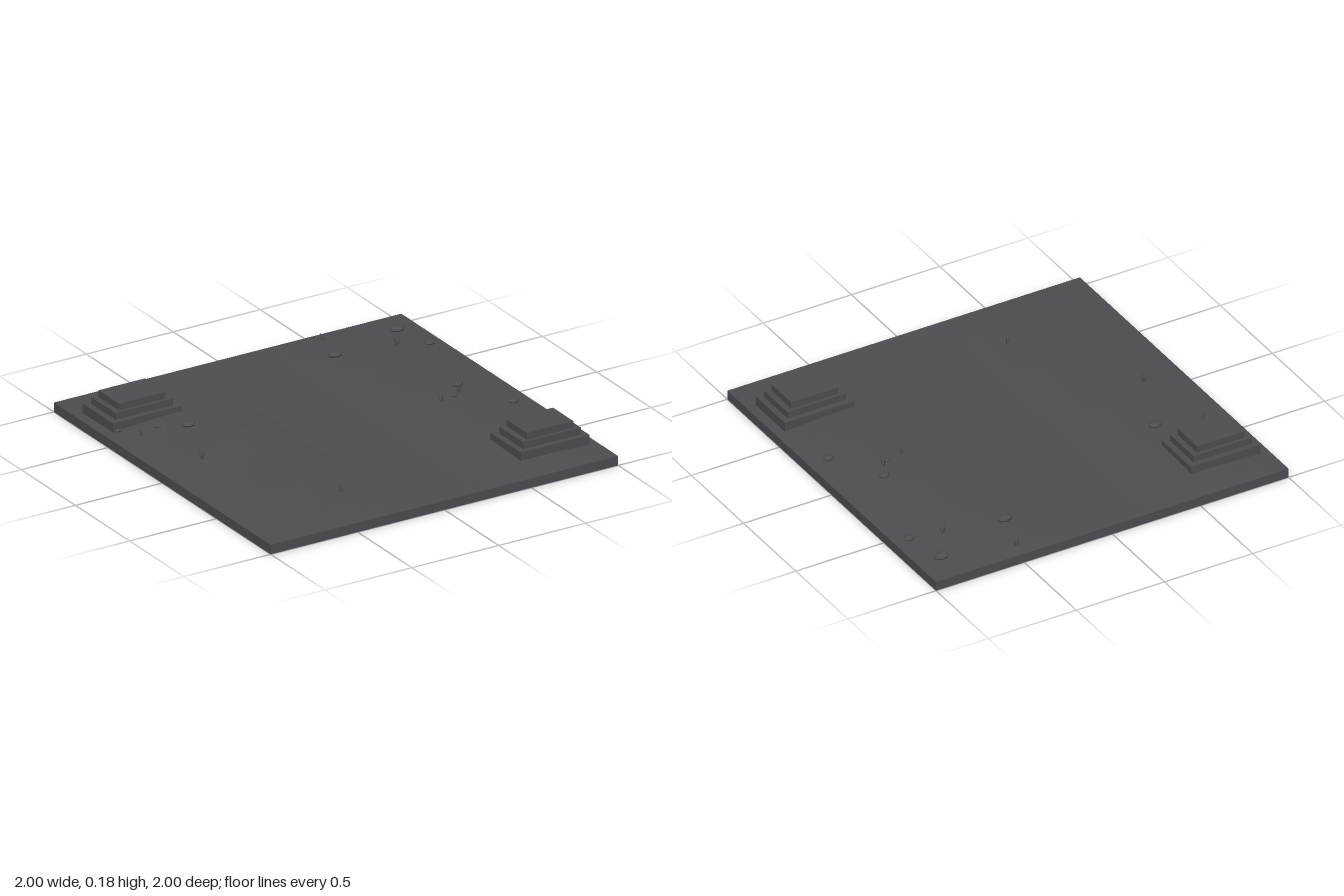
import * as THREE from 'three';

const BASE = 0.05;

// Ground height: flat lane down the middle, low mounds on both sides, level at the rim
function groundHeight(x, z) {
  const t = THREE.MathUtils.clamp((Math.abs(x) - 0.24) / 0.76, 0, 1);
  const across = Math.pow(Math.sin(Math.PI * Math.pow(t, 0.85)), 0.8);
  const along = Math.pow(Math.max(0, Math.cos((z + 0.1 * (1 - z * z)) * Math.PI / 2)), 0.7);
  const ripple = 0.88 + 0.12 * Math.sin(9 * x + 4 * z) * Math.cos(7 * z - 3 * x);
  return BASE + 0.036 * across * along * ripple;
}

export function createModel() {
  const stone = new THREE.MeshStandardMaterial({ color: 0x4e4d52, flatShading: true });
  stone.name = 'dark grey stone';
  const root = new THREE.Group();
  root.name = 'terrainTile';

  const add = (geometry, name, parent = root) => {
    const mesh = new THREE.Mesh(geometry, stone);
    mesh.name = name;
    parent.add(mesh);
    return mesh;
  };

  // Ground slab with its upper face raised into mounds
  const ground = new THREE.BoxGeometry(2, BASE, 2, 20, 1, 20);
  ground.translate(0, BASE / 2, 0);
  const p = ground.attributes.position;
  for (let i = 0; i < p.count; i++) {
    if (p.getY(i) > BASE / 2) p.setY(i, groundHeight(p.getX(i), p.getZ(i)));
  }
  ground.computeVertexNormals();
  add(ground, 'ground');

  // Stepped platforms in opposite corners
  const steps = [[0.396, 0.284, 0.105], [0.332, 0.225, 0.141], [0.268, 0.188, 0.177]];
  for (const side of [1, -1]) {
    const platform = new THREE.Group();
    platform.name = side > 0 ? 'frontPlatform' : 'backPlatform';
    platform.position.set(0.752 * side, 0, 0.675 * side);
    let bottom = 0.04;
    steps.forEach(([w, d, top], i) => {
      add(new THREE.BoxGeometry(w, top - bottom, d), 'step' + (i + 1), platform)
        .position.y = (top + bottom) / 2;
      bottom = top;
    });
    root.add(platform);
  }

  // Flattened stones: x, z, radius
  const rocks = [
    [0.87, -0.83, 0.041], [0.44, -0.71, 0.041], [0.922, -0.61, 0.03],
    [0.753, -0.085, 0.029], [0.67, 0.022, 0.016], [0.895, 0.205, 0.03],
    [-0.617, -0.37, 0.036], [-0.748, -0.447, 0.018], [-0.927, -0.527, 0.02],
  ];
  const rockGeometry = new THREE.SphereGeometry(1, 8, 6);
  for (const [x, z, r] of rocks) {
    const rock = add(rockGeometry, 'rock');
    rock.position.set(x, groundHeight(x, z) + r * 0.2, z);
    rock.scale.set(r, r * 0.38, r * 0.72);
  }

  // Tufts of thin pointed blades: x, z, height
  const tufts = [
    [-0.77, 0, 0.07], [-0.385, 0.66, 0.055], [-0.86, -0.42, 0.045],
    [0.5, -0.92, 0.05], [0.76, -0.66, 0.07], [0.58, 0.045, 0.05], [0.71, -0.01, 0.08],
  ];
  tufts.forEach(([x, z, h], n) => {
    const tuft = new THREE.Group();
    tuft.name = 'grassTuft';
    tuft.position.set(x, groundHeight(x, z) - 0.003, z);
    for (let i = 0; i < 3; i++) {
      const tall = h * (1 - 0.18 * i);
      const blade = new THREE.ConeGeometry(0.005, tall, 4);
      blade.translate(0, tall / 2, 0);
      blade.rotateZ(-0.25);
      blade.translate(0.004, 0, 0);
      blade.rotateY(n * 0.9 + i * Math.PI * 2 / 3);
      add(blade, 'blade', tuft);
    }
    root.add(tuft);
  });

  return root;
}
